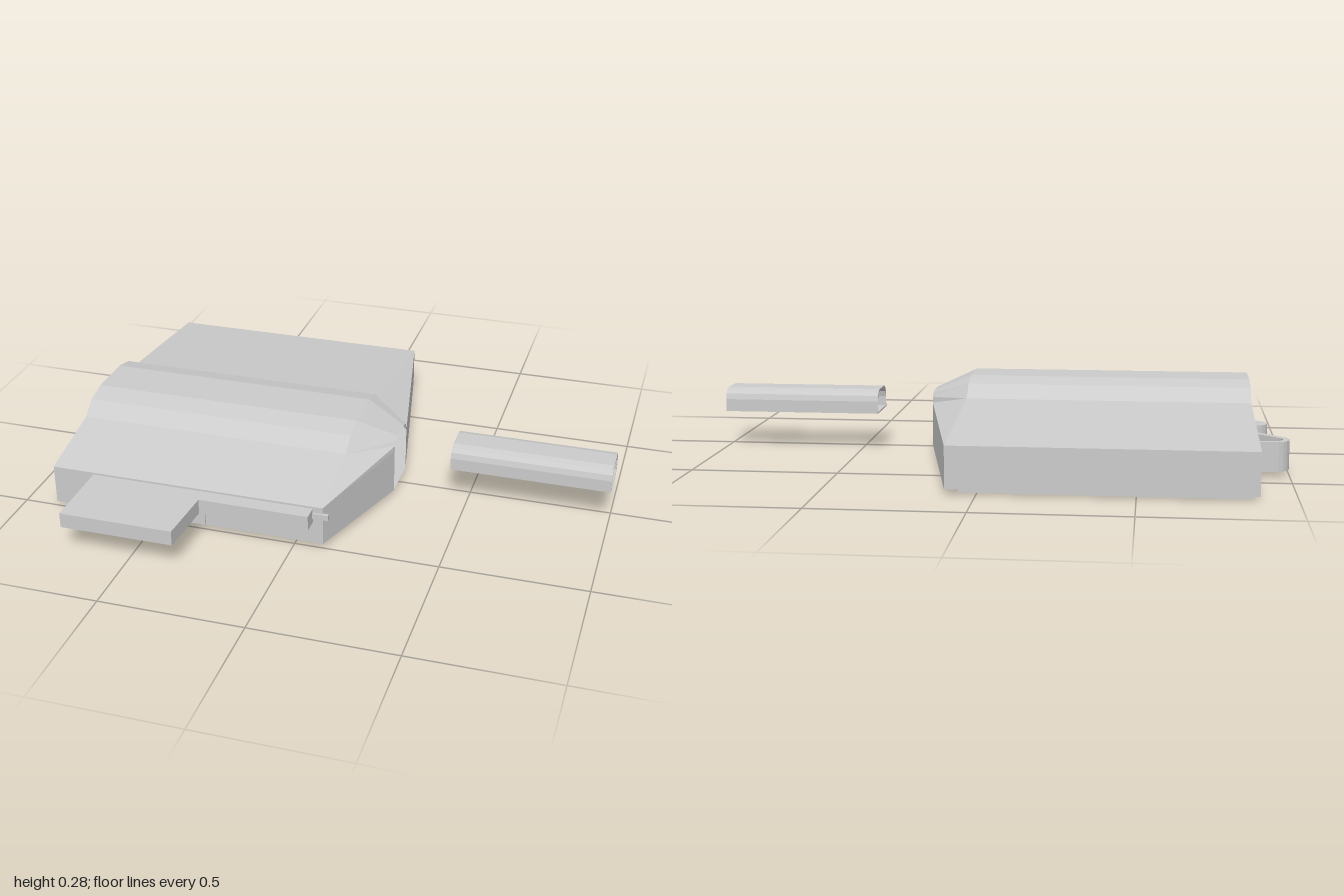
import * as THREE from 'three';

const sheet = new THREE.MeshStandardMaterial({ color: 0xcccccc, flatShading: true, side: THREE.DoubleSide });

function addMesh(parent, name, geometry) {
  const mesh = new THREE.Mesh(geometry, sheet);
  mesh.name = name;
  parent.add(mesh);
  return mesh;
}

// Skin between closed [z, y] sections placed at given x positions
function loft(sections) {
  const pos = [];
  for (let s = 0; s + 1 < sections.length; s++) {
    const a = sections[s], b = sections[s + 1], n = a.pts.length;
    for (let i = 0; i < n; i++) {
      const j = (i + 1) % n;
      const p = (c, k) => [c.x, c.pts[k][1], c.pts[k][0]];
      pos.push(...p(a, i), ...p(b, i), ...p(b, j), ...p(a, i), ...p(b, j), ...p(a, j));
    }
  }
  const g = new THREE.BufferGeometry();
  g.setAttribute('position', new THREE.Float32BufferAttribute(pos, 3));
  g.computeVertexNormals();
  return g;
}

// Flat plate from an [x, z] outline, between two heights
function plate(outline, y0, y1, hole) {
  const toShape = pts => pts.map(([x, z]) => new THREE.Vector2(x, -z));
  const shape = new THREE.Shape(toShape(outline));
  if (hole) shape.holes.push(new THREE.Path(toShape(hole)));
  const g = new THREE.ExtrudeGeometry(shape, { depth: y1 - y0, bevelEnabled: false });
  g.rotateX(-Math.PI / 2);
  g.translate(0, y0, 0);
  return g;
}

// Box from its minimum and maximum corners
function box(x0, x1, y0, y1, z0, z1) {
  const g = new THREE.BoxGeometry(x1 - x0, y1 - y0, z1 - z0);
  g.translate((x0 + x1) / 2, (y0 + y1) / 2, (z0 + z1) / 2);
  return g;
}

// Outline points along a circular arc, angles in degrees
function arc(cx, cz, r, from, to, steps = 8) {
  return Array.from({ length: steps + 1 }, (_, i) => {
    const a = THREE.MathUtils.degToRad(from + (to - from) * i / steps);
    return [cx + r * Math.cos(a), cz + r * Math.sin(a)];
  });
}

export function createModel() {
  const model = new THREE.Group();
  model.name = 'model';

  // Hollow housing: long ridge body tapering to an arched mouth
  const body = [[0.5, 0.02], [0.5, 0.16], [0.225, 0.218], [0.17, 0.262], [0.09, 0.28],
    [-0.08, 0.28], [-0.16, 0.262], [-0.215, 0.218], [-0.77, 0.16], [-0.77, 0.02]];
  const mouth = [[0.09, 0.02], [0.09, 0.178], [0.085, 0.198], [0.072, 0.212], [0.045, 0.218],
    [-0.035, 0.218], [-0.062, 0.212], [-0.073, 0.198], [-0.078, 0.178], [-0.078, 0.02]];
  addMesh(model, 'housing', loft([{ x: -0.88, pts: body }, { x: 0.1, pts: body }, { x: 0.24, pts: mouth }]));

  // Thin panels beneath the housing
  addMesh(model, 'rearBottomPanel', plate([[-0.86, -0.74], [0.06, -0.74], [0.06, -0.6], [0.03, -0.55],
    [-0.05, -0.45], [-0.09, -0.39], [-0.13, -0.36], [-0.86, -0.07]], 0.004, 0.02));
  addMesh(model, 'frontBottomPanel', plate([[-0.36, 0.38], [-0.26, 0.36], [-0.2, 0.3], [-0.1, 0.29],
    [0, 0.2], [0.1, 0.24], [0.1, 0.36]], 0.012, 0.02));

  // Stepped slide standing out of the front wall
  const slide = new THREE.Group();
  slide.name = 'slide';
  model.add(slide);
  addMesh(slide, 'slideTongue', plate([[-0.73, 0.44], [0.065, 0.44], [0.065, 0.555], [-0.32, 0.555],
    [-0.333, 0.767], [-0.73, 0.767]], 0.1, 0.153));
  addMesh(slide, 'slideRib', box(-0.333, -0.32, 0.02, 0.1, 0.49, 0.505));
  addMesh(slide, 'slideCatch', box(0.065, 0.12, 0.118, 0.138, 0.495, 0.508));

  // Rear lever: a raised rim around a shallow floor, with a pivot pin
  const rearLever = new THREE.Group();
  rearLever.name = 'rearLever';
  model.add(rearLever);
  const rearOutline = [...arc(-0.945, -0.355, 0.055, 270, 130), [-0.9, -0.235], [-0.86, -0.19],
    [-0.72, -0.19], [-0.72, -0.41]];
  const rearHole = [...arc(-0.943, -0.357, 0.035, 270, 130), [-0.88, -0.25], [-0.85, -0.215],
    [-0.74, -0.215], [-0.74, -0.392]];
  addMesh(rearLever, 'rearLeverRim', plate(rearOutline, 0.022, 0.122, rearHole));
  addMesh(rearLever, 'rearLeverFloor', plate(rearOutline, 0.022, 0.06));
  const pin = new THREE.CylinderGeometry(0.02, 0.02, 0.08, 16);
  pin.translate(-0.87, 0.08, -0.355);
  addMesh(rearLever, 'rearLeverPin', pin);

  // Front lever: a low solid tab
  addMesh(model, 'frontLever', plate([...arc(-0.925, 0.255, 0.047, 270, 125), [-0.91, 0.34], [-0.86, 0.4],
    [-0.7, 0.4], [-0.7, 0.208]], 0.022, 0.065));

  // Linkage inside the housing
  addMesh(model, 'lowerLinkage', box(-0.8, -0.7, 0.022, 0.055, -0.3, 0.3));
  addMesh(model, 'upperLinkage', box(-0.76, -0.72, 0.116, 0.13, -0.3, 0.3));

  // Separate arched sleeve, open at both ends
  const sleeveSection = (w, y0, y1) => [[w, y0], [w, y1 - 0.04], [w * 0.93, y1 - 0.02], [w * 0.78, y1 - 0.006],
    [w * 0.5, y1], [-w * 0.5, y1], [-w * 0.78, y1 - 0.006], [-w * 0.93, y1 - 0.02], [-w, y1 - 0.04], [-w, y0]];
  const outer = sleeveSection(0.082, 0.134, 0.218), inner = sleeveSection(0.077, 0.139, 0.213);
  const sleeve = new THREE.Group();
  sleeve.name = 'sleeve';
  model.add(sleeve);
  addMesh(sleeve, 'sleeveShell', loft([{ x: 0.44, pts: inner }, { x: 0.44, pts: outer },
    { x: 1, pts: outer }, { x: 1, pts: inner }, { x: 0.44, pts: inner }]));

  return model;
}
